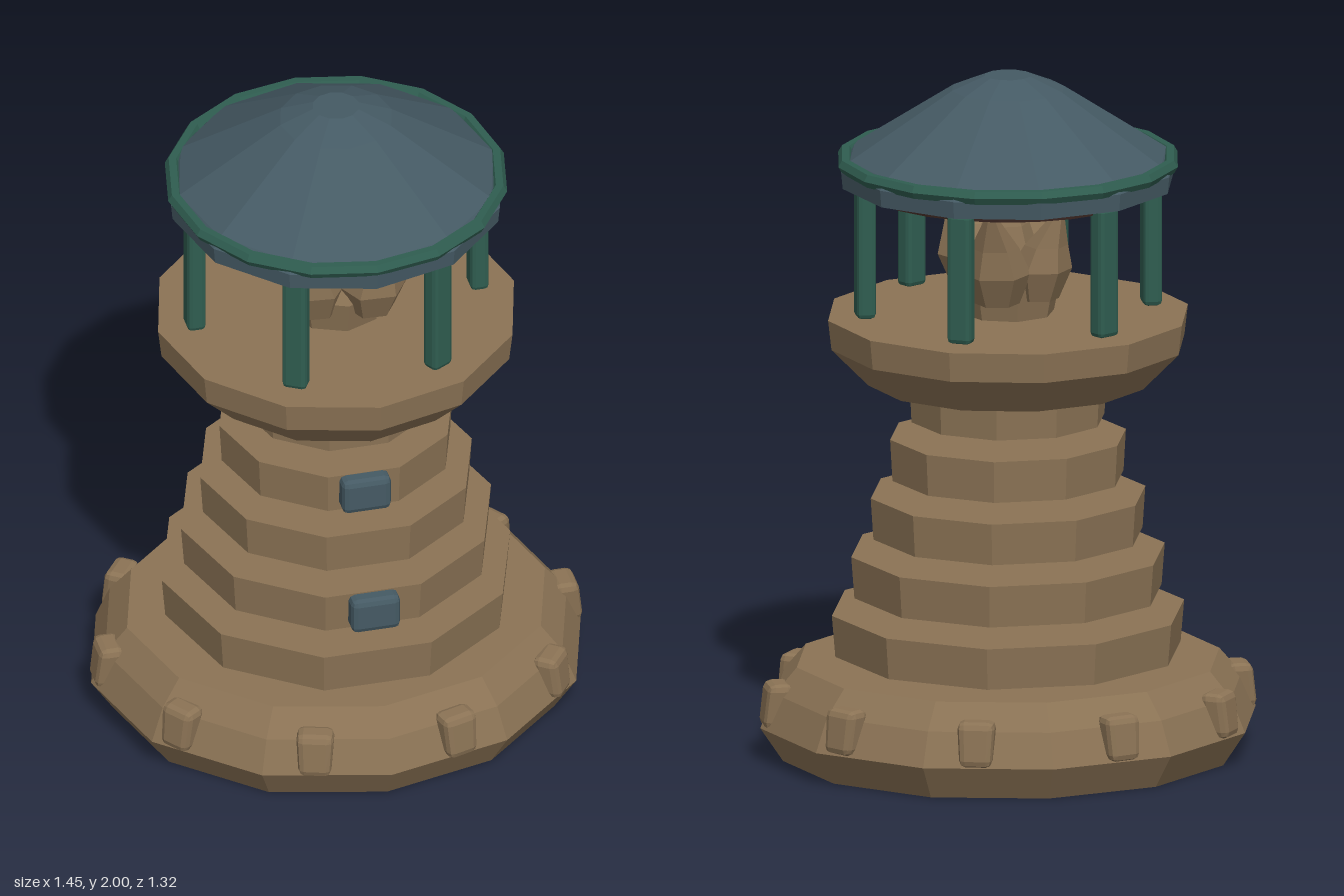
import * as THREE from 'three';
import { RoundedBoxGeometry } from 'three/addons/geometries/RoundedBoxGeometry.js';

const flat = (name, color) => {
  const m = new THREE.MeshStandardMaterial({ color });
  m.name = name;
  m.flatShading = true;
  return m;
};

export function createModel() {
  const stone = flat('sandstone', 0x8b7355);
  const slate = flat('slate', 0x455a64);
  const green = flat('green metal', 0x2f5d50);
  const brown = flat('dark brown', 0x4e342e);
  const model = new THREE.Group();
  model.name = 'lighthouse';

  const add = (name, geometry, material, x = 0, y = 0, z = 0, parent = model) => {
    const mesh = new THREE.Mesh(geometry, material);
    mesh.name = name;
    mesh.position.set(x, y, z);
    parent.add(mesh);
    return mesh;
  };

  // Faceted solid of revolution from [radius, height] pairs, with a corner on +x
  const turned = (profile, sides) => new THREE.LatheGeometry(
    profile.map(([r, y]) => new THREE.Vector2(r, y)), sides, Math.PI / 2);

  // Oval foundation
  const base = add('base', turned(
    [[0, 0], [0.66, 0], [0.727, 0.1], [0.685, 0.2], [0.62, 0.275], [0, 0.275]], 12), stone);
  base.scale.z = 0.91;

  // Stones around the foundation, wider and leaning inward at the top
  const stoneBlock = new RoundedBoxGeometry(0.075, 0.13, 0.11, 1, 0.02);
  const p = stoneBlock.attributes.position;
  for (let i = 0; i < p.count; i++) {
    const t = p.getY(i) / 0.13 + 0.5;
    p.setXYZ(i, p.getX(i) - 0.015 * (t - 0.5), p.getY(i), p.getZ(i) * (0.85 + 0.15 * t));
  }
  stoneBlock.computeVertexNormals();
  for (let i = 0; i < 10; i++) {
    const a = i * Math.PI / 5;
    const block = add('baseStone', stoneBlock, stone,
      0.68 * Math.cos(a), 0.17, 0.62 * Math.sin(a));
    block.rotation.y = -a;
  }

  // Five separate tower tiers, shrinking upward
  for (let i = 0; i < 5; i++) {
    const r = 0.517 - 0.057 * i;
    const y = 0.301 + 0.171 * i;
    add('towerTier', turned([[0, y], [r * 0.98, y], [r, y + 0.122], [0, y + 0.122]], 10), stone);
  }

  // Windows on the front of the second and fourth tiers
  const windowShape = new RoundedBoxGeometry(0.145, 0.11, 0.08, 1, 0.018);
  add('lowerWindow', windowShape, slate, 0, 0.535, 0.443);
  add('upperWindow', windowShape, slate, 0, 0.88, 0.335);

  // Gallery platform
  add('gallery', turned([[0, 1.1], [0.41, 1.1], [0.518, 1.21], [0.528, 1.297], [0, 1.297]], 12), stone);

  // Bevelled lantern posts
  const post = new RoundedBoxGeometry(0.055, 0.385, 0.073, 1, 0.014);
  for (let i = 0; i < 6; i++) {
    const a = i * Math.PI / 3;
    add('lanternPost', post, green, 0.42 * Math.cos(a), 1.495, 0.42 * Math.sin(a)).rotation.y = -a;
  }

  // Carved flame: a pedestal with leaning pointed shards
  const flame = new THREE.Group();
  flame.name = 'flame';
  model.add(flame);
  add('flamePedestal', turned([[0, 1.3], [0.135, 1.3], [0.155, 1.4], [0.1, 1.5], [0, 1.5]], 8),
    stone, 0, 0, 0, flame);
  // x, z, radius, height, lean in x, lean in z
  const shards = [
    [0, 0, 0.1, 0.34, 0.02, 0],
    [0.075, 0.11, 0.105, 0.31, 0.03, 0.06],
    [-0.08, 0.09, 0.09, 0.31, -0.07, 0.06],
    [-0.07, -0.1, 0.09, 0.27, -0.05, -0.06],
    [0.06, -0.14, 0.1, 0.29, 0.04, -0.11],
  ];
  shards.forEach(([x, z, r, h, dx, dz], n) => {
    const g = turned([[0, 0], [r * 0.65, 0], [r, 0.09], [r * 0.7, h * 0.6], [0.012, h], [0, h]], 6);
    g.rotateY(n);
    const q = g.attributes.position;
    for (let i = 0; i < q.count; i++) {
      const t = (q.getY(i) / h) ** 2;
      q.setX(i, q.getX(i) + dx * t);
      q.setZ(i, q.getZ(i) + dz * t);
    }
    g.computeVertexNormals();
    add('flameShard', g, stone, x, 1.36, z, flame);
  });

  // Roof with a shallow crown, its eave trim and the ring beneath it
  add('roof', turned([[0, 1.685], [0.485, 1.685], [0.49, 1.735], [0.465, 1.765],
    [0.165, 1.96], [0.068, 2], [0, 2]], 12), slate);
  const trim = add('eaveTrim', new THREE.TorusGeometry(0.476, 0.022, 6, 16), green, 0, 1.75, 0);
  trim.rotation.x = Math.PI / 2;
  const ring = add('lanternRing', new THREE.TorusGeometry(0.405, 0.018, 6, 24), brown, 0, 1.678, 0);
  ring.rotation.x = Math.PI / 2;

  return model;
}
